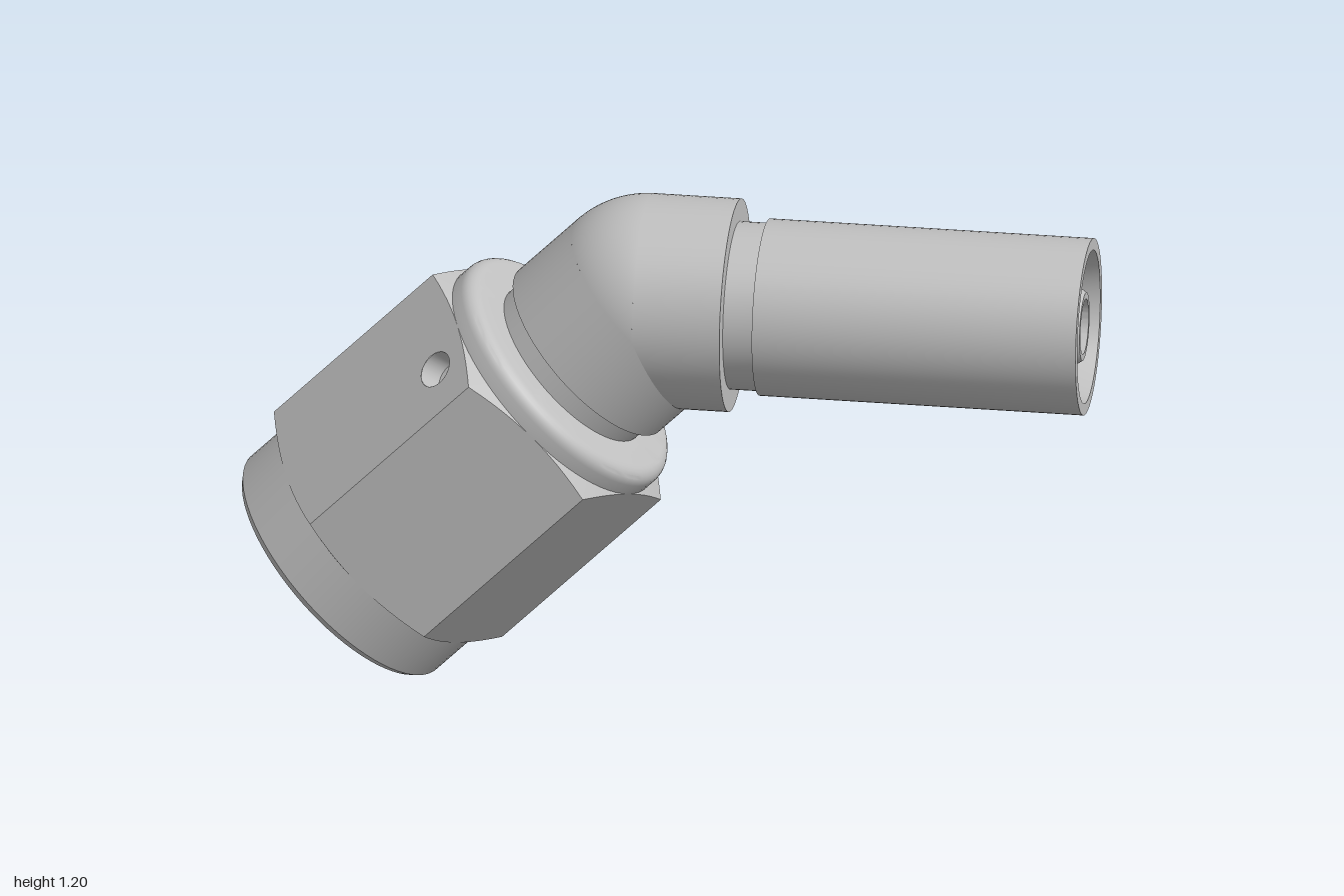
import * as THREE from 'three';
import { toCreasedNormals } from 'three/addons/utils/BufferGeometryUtils.js';

const FLAT = 0.33;            // hexagon centre to flat
const BEND = [-0.042, 0.963]; // where the two axes cross

const steel = new THREE.MeshStandardMaterial({ color: 0xc0c0c0, side: THREE.DoubleSide });
steel.name = 'steel';

function add(parent, name, geometry) {
  const mesh = new THREE.Mesh(geometry, steel);
  mesh.name = name;
  parent.add(mesh);
  return mesh;
}

// Turned part from [radius, height] pairs, with sharp edges kept
function turned(points, segments = 72) {
  const profile = points.map(([r, y]) => new THREE.Vector2(r, y));
  return toCreasedNormals(new THREE.LatheGeometry(profile, segments), 0.5);
}

// Hexagon edge heights, curved by the conical chamfer at both ends
const topEdge = (r) => -0.315 - 0.43 * (r - FLAT);
const bottomEdge = (r) => -0.889 + 0.43 * (r - FLAT);

// One side of the hexagon
function hexSide(withHole) {
  const half = FLAT * Math.tan(Math.PI / 6);
  const n = 12;
  const top = [], bottom = [];
  for (let i = 0; i <= n; i++) {
    const t = FLAT * Math.tan((i / n - 0.5) * Math.PI / 3);
    const r = Math.hypot(FLAT, t);
    bottom.push(new THREE.Vector2(t, bottomEdge(r)));
    top.unshift(new THREE.Vector2(t, topEdge(r)));
  }
  const shape = new THREE.Shape([...bottom, ...top]);
  if (withHole) {
    shape.holes.push(new THREE.Path().absarc(half * 0.35, -0.409, 0.045, 0, Math.PI * 2, true));
  }
  return new THREE.ShapeGeometry(shape, 24).translate(0, 0, FLAT);
}

// Conical strip from the inscribed circle out to the hexagon edge
function chamfer(edge, flip) {
  const positions = [], index = [];
  const n = 72;
  for (let j = 0; j <= n; j++) {
    const a = (j / n) * Math.PI * 2;
    const off = (a % (Math.PI / 3)) - Math.PI / 6;
    const r = FLAT / Math.cos(off);
    for (const q of [r, FLAT]) positions.push(q * Math.cos(a), edge(q), q * Math.sin(a));
    if (j === n) continue;
    const o = j * 2, i = o + 1, o2 = o + 2, i2 = o + 3;
    if (flip) index.push(o, o2, i, i, o2, i2);
    else index.push(o, i, o2, i, i2, o2);
  }
  const g = new THREE.BufferGeometry();
  g.setAttribute('position', new THREE.Float32BufferAttribute(positions, 3));
  g.setIndex(index);
  g.computeVertexNormals();
  return g;
}

export function createModel() {
  const model = new THREE.Group();
  model.name = 'angledPipeFitting';

  // Straight arm: elbow shoulder, groove, sleeve and inner nipple
  const arm = add(model, 'straightTube', turned([
    [0.25, BEND[0]], [0.25, 0.165], [0.197, 0.165], [0.197, 0.235],
    [0.2075, 0.235], [0.2075, 1], [0.18, 1], [0.16, 0.85], [0.16, 0.35],
    [0.1, 0.35], [0.1, 0.96], [0.08, 0.99], [0.065, 0.99], [0.065, -0.04], [0, -0.04],
  ]));
  arm.rotation.z = -Math.PI / 2;
  arm.position.y = BEND[1];

  // Rounded outside of the bend
  const bend = add(model, 'elbowBend', new THREE.SphereGeometry(
    0.25, 16, 48, Math.PI * 1.5, Math.PI / 4).rotateX(Math.PI / 2));
  bend.position.set(BEND[0], BEND[1], 0);

  // Slanted arm, built along its own y axis
  const slant = new THREE.Group();
  slant.name = 'slantedArm';
  slant.position.set(BEND[0], BEND[1], 0);
  slant.rotation.z = -Math.PI / 4;
  model.add(slant);

  add(slant, 'elbowNeck', turned([
    [0, -0.05], [0.065, -0.05], [0.065, -0.8], [0.14, -0.8], [0.225, -0.68],
    [0.225, -0.195], [0.25, -0.195], [0.25, 0],
  ]));

  // Nut collar with rounded shoulder
  const collar = [[0.33, -0.315]];
  for (let i = 0; i <= 6; i++) {
    const a = (i / 6) * Math.PI / 2;
    collar.push([0.295 + 0.035 * Math.cos(a), -0.285 + 0.035 * Math.sin(a)]);
  }
  collar.push([0.225, -0.25]);
  add(slant, 'nutCollar', turned(collar));

  // Hexagonal nut body
  for (let i = 0; i < 6; i++) {
    add(slant, 'nutSide', hexSide(i === 5)).rotation.y = i * Math.PI / 3;
  }
  add(slant, 'nutTopChamfer', chamfer(topEdge, false));
  add(slant, 'nutBottomChamfer', chamfer(bottomEdge, true));

  // Round nut skirt and its bore
  add(slant, 'nutSkirt', turned([
    [0.225, -0.45], [0.28, -0.45], [0.28, -1.0], [0.295, -1.03],
    [0.318, -1.03], [0.33, -1.015], [0.33, -0.889],
  ]));

  // Blind hole in one nut side
  const holder = new THREE.Group();
  holder.name = 'nutHole';
  holder.rotation.y = -Math.PI / 3;
  slant.add(holder);
  const hole = add(holder, 'holeWall', turned([[0.045, 0], [0.045, -0.06], [0, -0.07]], 24));
  hole.rotation.x = Math.PI / 2;
  hole.position.set(FLAT * Math.tan(Math.PI / 6) * 0.35, -0.409, FLAT);

  return model;
}
